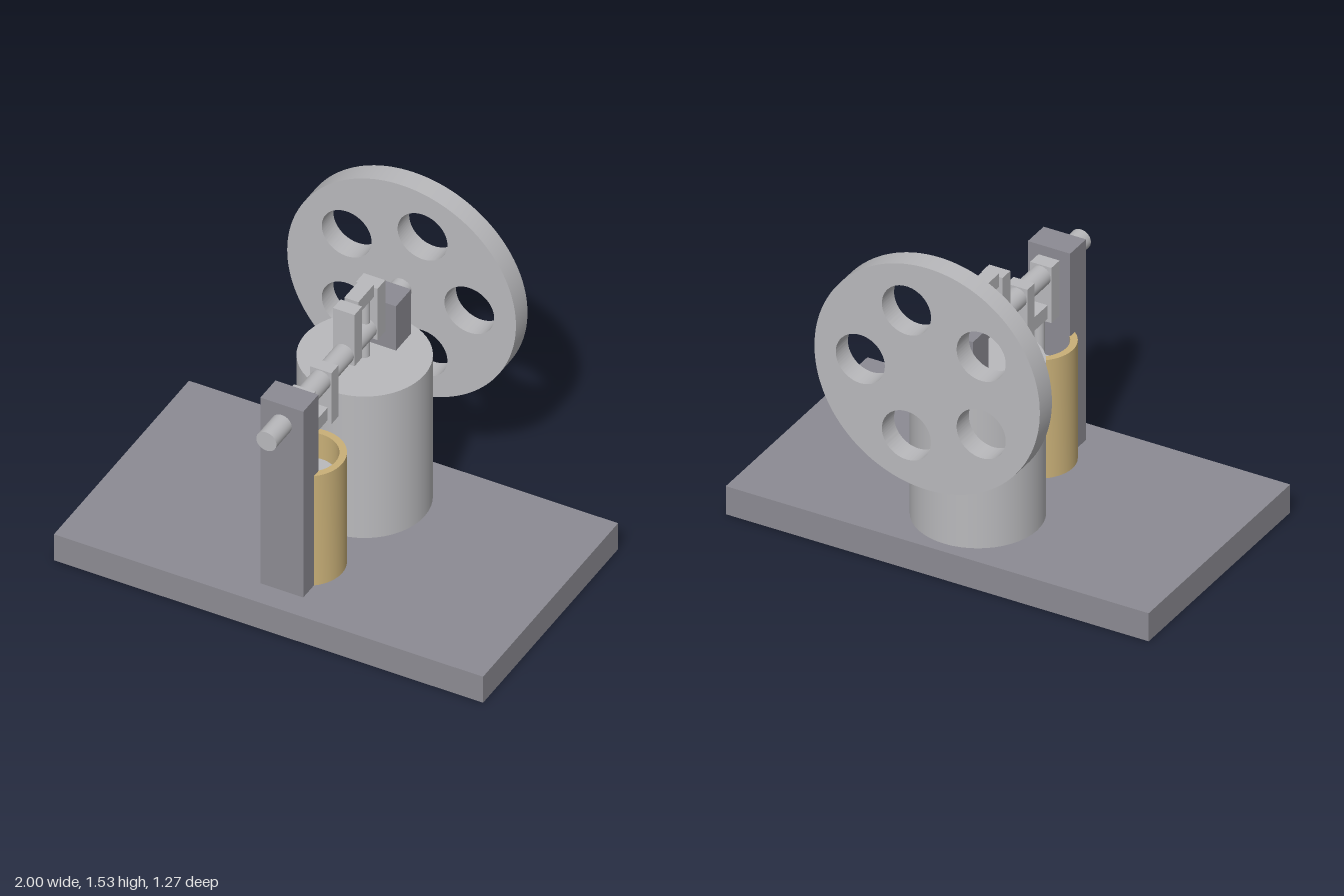
import * as THREE from 'three';
import { toCreasedNormals } from 'three/addons/utils/BufferGeometryUtils.js';

const flat = (name, color) => {
  const m = new THREE.MeshStandardMaterial({ color });
  m.name = name;
  return m;
};

export function createModel() {
  const frame = flat('frame grey', 0x8c8b93);
  const steel = flat('steel', 0xb9b9bc);
  const brass = flat('brass', 0xc9b078);

  const model = new THREE.Group();
  model.name = 'twoCylinderEngine';

  const add = (name, geometry, material, x = 0, y = 0, z = 0, parent = model) => {
    const mesh = new THREE.Mesh(geometry, material);
    mesh.name = name;
    mesh.position.set(x, y, z);
    parent.add(mesh);
    return mesh;
  };
  // Box given by its half width and its y and z ranges
  const box = (name, material, halfX, y0, y1, z0, z1, parent) =>
    add(name, new THREE.BoxGeometry(halfX * 2, y1 - y0, z1 - z0), material, 0, (y0 + y1) / 2, (z0 + z1) / 2, parent);
  // Upright cylinder between two heights
  const upright = (name, material, r, y0, y1, z) =>
    add(name, new THREE.CylinderGeometry(r, r, y1 - y0, 48), material, 0, (y0 + y1) / 2, z);

  // Base and bearing posts
  box('base', frame, 1, 0, 0.135, -0.55, 0.615);
  box('frontPost', frame, 0.1, 0.135, 1.1, 0.37, 0.5);
  box('rearPost', frame, 0.1, 0.87, 1.1, -0.43, -0.3);

  // Large closed cylinder and its rod
  upright('displacerCylinder', steel, 0.28, 0.135, 0.87, -0.215);
  upright('displacerRod', steel, 0.022, 0.87, 1.18, -0.215);

  // Small open cylinder with a piston inside
  const wall = [[0.163, 0.135], [0.163, 0.703], [0.132, 0.703], [0.132, 0.135]]
    .map(([r, y]) => new THREE.Vector2(r, y));
  add('powerCylinder', toCreasedNormals(new THREE.LatheGeometry(wall, 48), 0.6), brass, 0, 0, 0.28);
  upright('powerPiston', steel, 0.126, 0.2, 0.58, 0.28);
  upright('powerRod', steel, 0.025, 0.58, 0.82, 0.285);

  // Crankshaft running front to back
  const shaft = add('shaft', new THREE.CylinderGeometry(0.047, 0.047, 1.176, 32), steel, 0, 1, 0.045);
  shaft.rotation.x = Math.PI / 2;

  // Two cranks on opposite sides of the shaft
  const crank = (name, webs, webY, pinY) => {
    const group = new THREE.Group();
    group.name = name;
    model.add(group);
    webs.forEach(([z0, z1]) => box('crankWeb', steel, 0.05, ...webY, z0, z1, group));
    box('crankPin', steel, 0.033, ...pinY, webs[0][1], webs[1][0], group);
  };
  crank('powerCrank', [[0.105, 0.165], [0.302, 0.37]], [0.787, 1.052], [0.803, 0.868]);
  crank('displacerCrank', [[-0.3, -0.233], [-0.1, -0.035]], [0.952, 1.218], [1.17, 1.234]);

  // Flywheel with five round holes
  const disc = new THREE.Shape().absarc(0, 0, 0.533, 0, Math.PI * 2);
  for (let i = 0; i < 5; i++) {
    const a = (i * Math.PI * 2) / 5;
    disc.holes.push(new THREE.Path().absarc(0.316 * Math.cos(a), 0.316 * Math.sin(a), 0.116, 0, Math.PI * 2, true));
  }
  const wheel = new THREE.ExtrudeGeometry(disc, { depth: 0.1, bevelEnabled: false, curveSegments: 64 });
  add('flywheel', toCreasedNormals(wheel, 0.6), steel, 0, 1, -0.633);

  return model;
}
